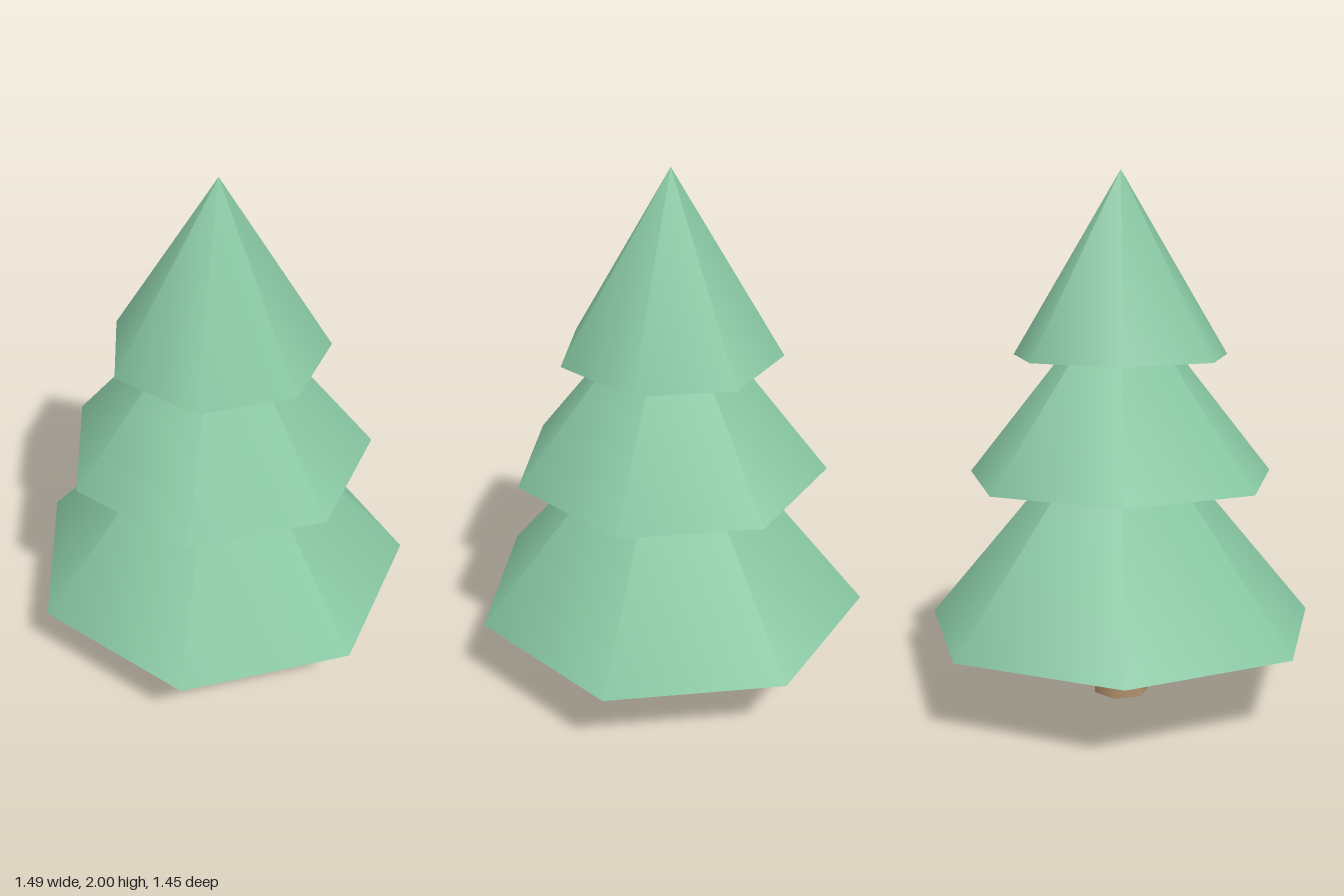
import * as THREE from 'three';

export function createModel() {
  const tree = new THREE.Group();
  tree.name = 'pineTree';
  const axisZ = -0.04; // the odd-sided tiers are offset so the bounds stay centred

  const foliage = new THREE.MeshStandardMaterial({ color: 0x86c5a1 });
  foliage.name = 'foliage green';
  const bark = new THREE.MeshStandardMaterial({ color: 0xb08f6c });
  bark.name = 'bark brown';

  const add = (name, geometry, material, bottom, height) => {
    const mesh = new THREE.Mesh(geometry, material);
    mesh.name = name;
    mesh.position.set(0, bottom + height / 2, axisZ);
    tree.add(mesh);
  };

  // Tapered six-sided trunk, reaching into the lowest tier
  add('trunk', new THREE.CylinderGeometry(0.086, 0.107, 0.4, 6), bark, 0, 0.4);

  // Three seven-sided foliage cones: name, radius, base height, tip height
  const tiers = [
    ['lowerFoliage', 0.765, 0.275, 1.19],
    ['middleFoliage', 0.6, 0.85, 1.6],
    ['topFoliage', 0.42, 1.31, 2],
  ];
  for (const [name, radius, base, tip] of tiers) {
    add(name, new THREE.ConeGeometry(radius, tip - base, 7), foliage, base, tip - base);
  }

  return tree;
}
